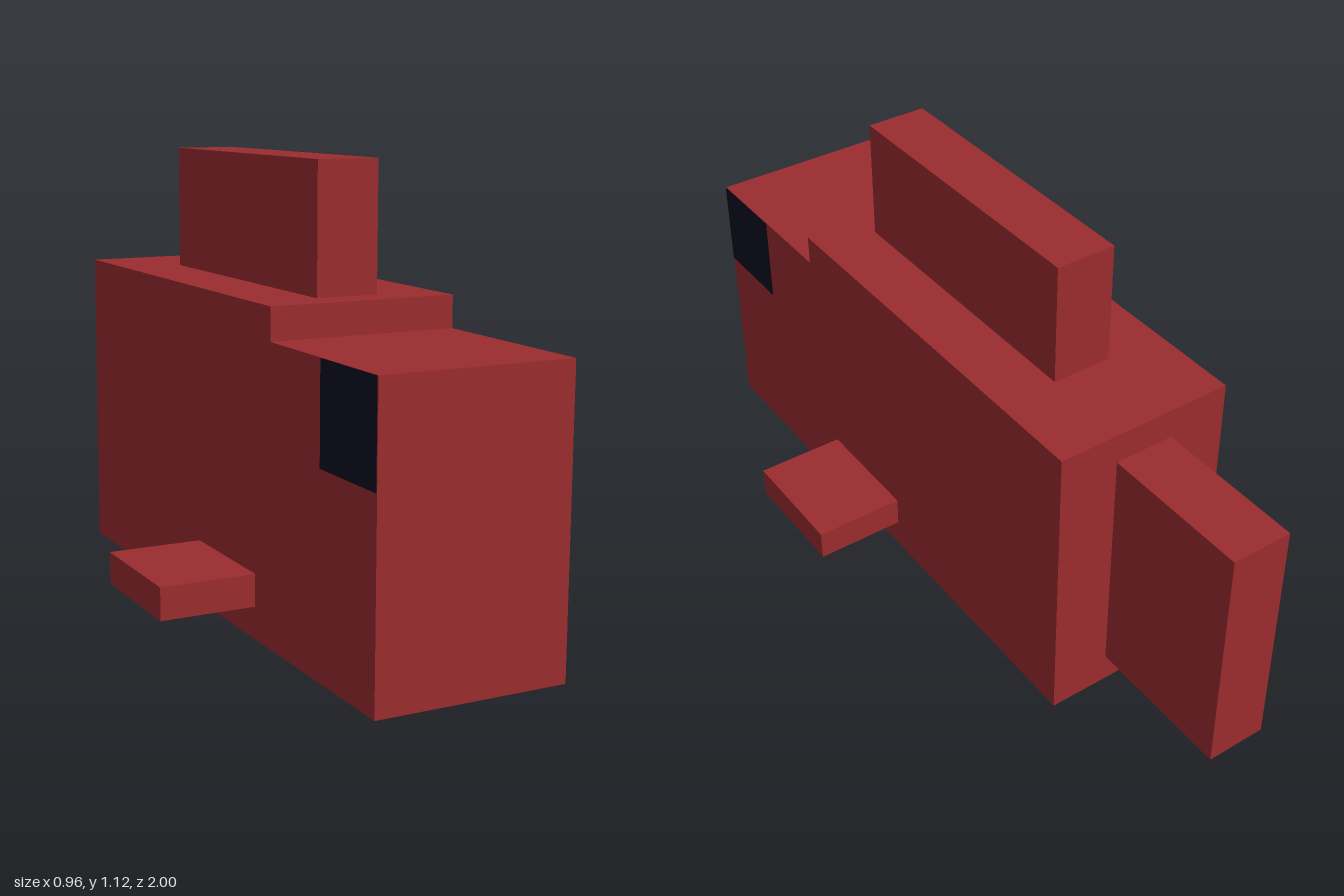
import * as THREE from 'three';

const mat = (name, color) => {
  const m = new THREE.MeshStandardMaterial({ color });
  m.name = name;
  return m;
};

export function createModel() {
  const model = new THREE.Group();
  model.name = 'blockFish';
  const red = mat('red', 0x9b2c2e);
  const belly = mat('bellyBrown', 0x9b4a45);
  const navy = mat('eyeNavy', 0x0c0d22);

  // Box given by its minimum and maximum corners
  const box = (name, material, [x0, y0, z0], [x1, y1, z1]) => {
    const mesh = new THREE.Mesh(new THREE.BoxGeometry(x1 - x0, y1 - y0, z1 - z0), material);
    mesh.position.set((x0 + x1) / 2, (y0 + y1) / 2, (z0 + z1) / 2);
    mesh.name = name;
    model.add(mesh);
  };

  // Body with a paler underside (fourth face of the box), and the lower head
  box('body', [red, red, red, belly, red, red], [-0.24, 0, -0.6], [0.24, 0.8, 0.52]);
  box('head', red, [-0.24, 0, 0.52], [0.24, 0.72, 1]);

  // Fins along the centre line
  box('dorsalFin', red, [-0.08, 0.8, -0.36], [0.08, 1.12, 0.44]);
  box('tailFin', red, [-0.08, 0.08, -1], [0.08, 0.72, -0.6]);

  // Paired side fins
  box('leftFin', red, [0.24, 0.08, 0.12], [0.48, 0.16, 0.44]);
  box('rightFin', red, [-0.48, 0.08, 0.12], [-0.24, 0.16, 0.44]);

  // Flat eyes on the sides of the head
  for (const side of [1, -1]) {
    const eye = new THREE.Mesh(new THREE.PlaneGeometry(0.24, 0.24), navy);
    eye.name = side > 0 ? 'leftEye' : 'rightEye';
    eye.rotation.y = side * Math.PI / 2;
    eye.position.set(side * 0.242, 0.6, 0.88);
    model.add(eye);
  }
  return model;
}
